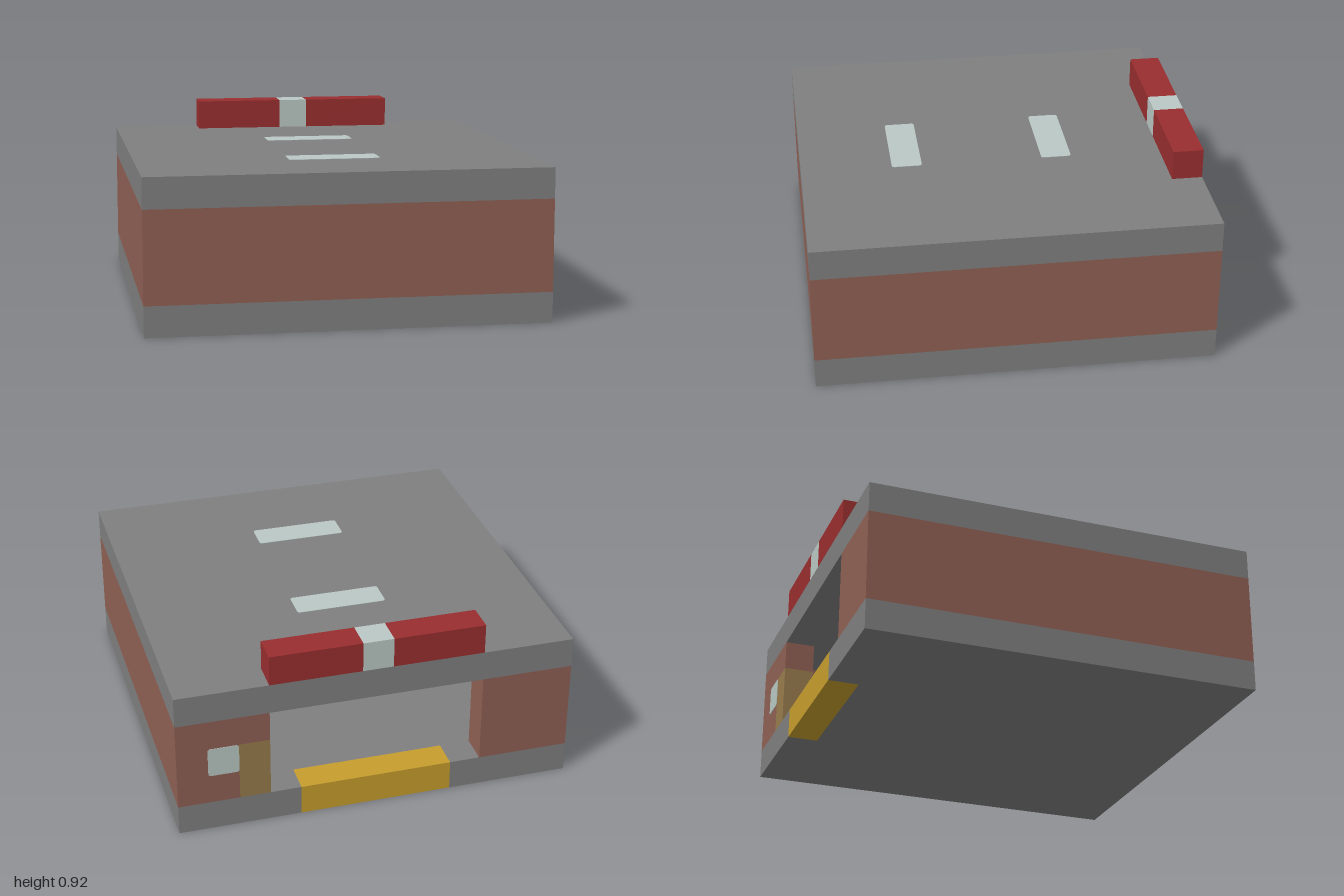
import * as THREE from 'three';

const U = 1 / 13; // grid unit: the model is 26 units wide

const makeMaterial = (name, color) => {
  const m = new THREE.MeshStandardMaterial({ color });
  m.name = name;
  return m;
};

export function createModel() {
  const model = new THREE.Group();
  model.name = 'building';
  const grey = makeMaterial('concrete grey', 0x7f7f7f);
  const brick = makeMaterial('brick', 0x8f6054);
  const red = makeMaterial('sign red', 0x992e2f);
  const pale = makeMaterial('pale glass', 0xbac8c4);
  const tan = makeMaterial('door tan', 0x987c4d);
  const yellow = makeMaterial('step yellow', 0xc79e2d);

  // Box given by its opposite corners, in grid units
  const box = (name, material, [x0, y0, z0], [x1, y1, z1]) => {
    const geo = new THREE.BoxGeometry((x1 - x0) * U, (y1 - y0) * U, (z1 - z0) * U);
    const mesh = new THREE.Mesh(geo, material);
    mesh.position.set((x0 + x1) / 2 * U, (y0 + y1) / 2 * U, (z0 + z1) / 2 * U);
    mesh.name = name;
    model.add(mesh);
    return mesh;
  };

  // Panel with softly rounded corners, centred on the origin and facing z
  const panel = (name, w, h, depth) => {
    const a = w * U / 2, b = h * U / 2, r = 0.015;
    const s = new THREE.Shape();
    s.moveTo(-a + r, -b);
    s.lineTo(a - r, -b).quadraticCurveTo(a, -b, a, -b + r);
    s.lineTo(a, b - r).quadraticCurveTo(a, b, a - r, b);
    s.lineTo(-a + r, b).quadraticCurveTo(-a, b, -a, b - r);
    s.lineTo(-a, -b + r).quadraticCurveTo(-a, -b, -a + r, -b);
    const geo = new THREE.ExtrudeGeometry(s, { depth, bevelEnabled: false, curveSegments: 3 });
    geo.translate(0, 0, -depth / 2);
    const mesh = new THREE.Mesh(geo, pale);
    mesh.name = name;
    model.add(mesh);
    return mesh;
  };

  // Floor, notched at the back for the yellow step
  box('floor', grey, [-13, 0, -11], [13, 2, 13]);
  box('floorBackRight', grey, [-13, 0, -13], [-5, 2, -11]);
  box('floorBackLeft', grey, [5, 0, -13], [13, 2, -11]);
  box('step', yellow, [-5, 0, -13], [5, 2, -11]);

  // Hollow brick walls with a wide doorway at the back
  box('frontWall', brick, [-13, 2, 11], [13, 8, 13]);
  box('rightWall', brick, [-13, 2, -11], [-11, 8, 11]);
  box('leftWall', brick, [11, 2, -11], [13, 8, 11]);
  box('backWallRight', brick, [-13, 2, -13], [-7, 8, -11]);
  box('backWallLeft', brick, [9, 2, -13], [13, 8, -11]);
  box('doorLintel', brick, [7, 6, -13], [9, 8, -11]);
  box('doorPost', tan, [7, 2, -13], [9, 6, -11]);

  // Small panel beside the door post
  panel('wallPanel', 2, 2, 0.004).position.set(10 * U, 5 * U, -1);

  // Roof slab with two skylights set through it
  box('roof', grey, [-13, 8, -13], [13, 10, 13]);
  for (const z of [-4, 6]) {
    const light = panel('skylight', 6, 2, 2 * U + 0.004);
    light.rotation.x = -Math.PI / 2;
    light.position.set(0, 9 * U, z * U);
  }

  // Sign bar on the back edge of the roof
  box('signRight', red, [-7, 10, -13], [-1, 12, -11]);
  box('signMiddle', pale, [-1, 10, -13], [1, 12, -11]);
  box('signLeft', red, [1, 10, -13], [7, 12, -11]);

  return model;
}
